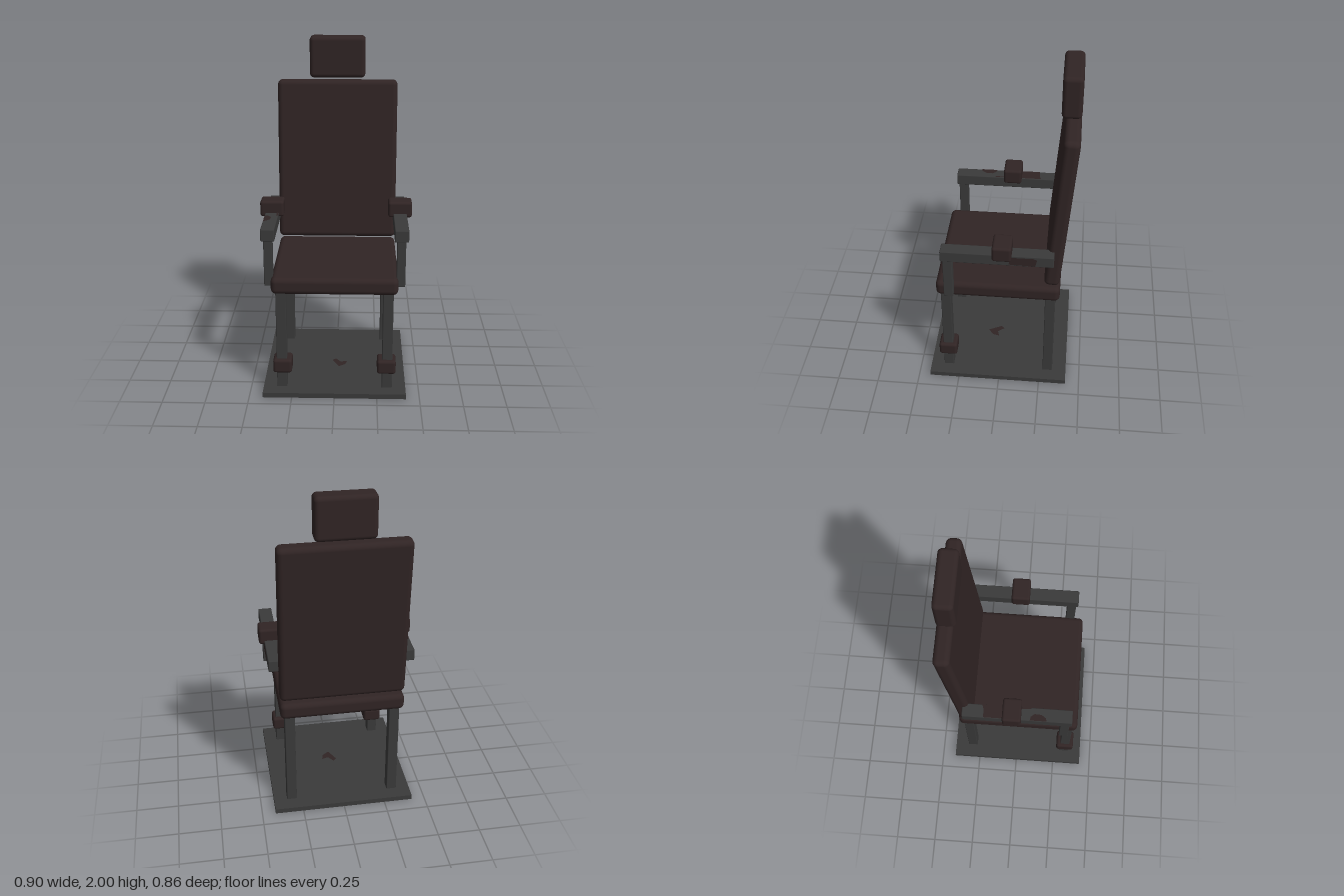
import * as THREE from 'three';
import { RoundedBoxGeometry } from 'three/addons/geometries/RoundedBoxGeometry.js';

export function createModel() {
  const model = new THREE.Group();
  model.name = 'restraintChair';

  const leather = new THREE.MeshStandardMaterial({ name: 'darkBrownLeather', color: 0x302424 });
  const metal = new THREE.MeshStandardMaterial({ name: 'darkGreyMetal', color: 0x3a3a3a });

  // Box with softened edges; size and centre are [x, y, z]
  function block(name, material, size, centre, radius) {
    const mesh = new THREE.Mesh(new RoundedBoxGeometry(...size, radius > 0.01 ? 4 : 1, radius), material);
    mesh.name = name;
    mesh.position.set(...centre);
    model.add(mesh);
    return mesh;
  }

  // Base plate
  const base = new THREE.Mesh(new THREE.BoxGeometry(0.84, 0.03, 0.845), metal);
  base.name = 'basePlate';
  base.position.set(0, 0.015, 0.0075);
  model.add(base);

  // Cushions
  block('seat', leather, [0.73, 0.1, 0.73], [0, 0.68, 0.01], 0.03);
  const back = block('backrest', leather, [0.73, 0.985, 0.09], [0, 1.243, -0.343], 0.03);
  back.rotation.x = -0.08;
  block('headrest', leather, [0.335, 0.247, 0.11], [0, 1.877, -0.37], 0.025);

  // Legs, arms and straps, mirrored left and right
  for (const [side, s] of [['left', 1], ['right', -1]]) {
    block(side + 'FrontLeg', metal, [0.06, 0.64, 0.06], [s * 0.31, 0.34, 0.32], 0.004);
    block(side + 'BackLeg', metal, [0.06, 0.64, 0.06], [s * 0.31, 0.34, -0.3], 0.004);
    block(side + 'AnkleStrap', leather, [0.11, 0.085, 0.11], [s * 0.305, 0.172, 0.32], 0.016);
    block(side + 'ArmPost', metal, [0.05, 0.29, 0.055], [s * 0.38, 0.81, 0.292], 0.004);
    block(side + 'Armrest', metal, [0.08, 0.07, 0.645], [s * 0.38, 0.975, 0.008], 0.005);
    block(side + 'WristStrap', leather, [0.14, 0.095, 0.11], [s * 0.38, 1.033, -0.022], 0.015);
  }

  // Thin stains: outline drawn flat, then turned to face its surface
  function stain(name, points, rotation, position) {
    const shape = new THREE.Shape(points.map(([x, y]) => new THREE.Vector2(x, y)));
    const mesh = new THREE.Mesh(new THREE.ShapeGeometry(shape), leather);
    mesh.name = name;
    mesh.rotation.set(...rotation);
    mesh.position.set(...position);
    model.add(mesh);
  }
  const up = [-Math.PI / 2, 0, 0], down = [Math.PI / 2, 0, 0], outward = [0, Math.PI / 2, 0];

  stain('armrestRearStain',
    [[-0.418, 0.06], [-0.342, 0.06], [-0.342, 0.198], [-0.37, 0.188], [-0.418, 0.188]], up, [0, 1.0115, 0]);
  stain('armrestFrontStain',
    [[-0.418, -0.18], [-0.4, -0.178], [-0.38, -0.15], [-0.378, -0.11], [-0.395, -0.088], [-0.418, -0.083]], up, [0, 1.0115, 0]);
  stain('armrestEdgeStain',
    [[-0.348, -0.09], [-0.342, -0.09], [-0.342, -0.02], [-0.352, -0.02]], up, [0, 1.0115, 0]);
  stain('armrestSideStain',
    [[0.06, 0.95], [0.21, 0.945], [0.22, 0.99], [0.2, 1.0], [0.07, 1.0]], outward, [0.4215, 0, 0]);
  stain('baseTopStain',
    [[-0.02, -0.02], [0.0, 0.0], [0.03, -0.04], [0.07, -0.03], [0.06, -0.07], [0.02, -0.1], [0.0, -0.06]], up, [0, 0.0315, 0]);
  stain('baseUnderStain',
    [[0.11, 0.2], [0.07, 0.16], [0.0, -0.04], [0.03, -0.05], [0.08, 0.02], [0.12, 0.12]], down, [0, -0.0015, 0]);
  stain('baseUnderRearStain',
    [[0.06, -0.23], [0.03, -0.25], [0.02, -0.4], [0.05, -0.4], [0.06, -0.33]], down, [0, -0.0015, 0]);

  return model;
}
